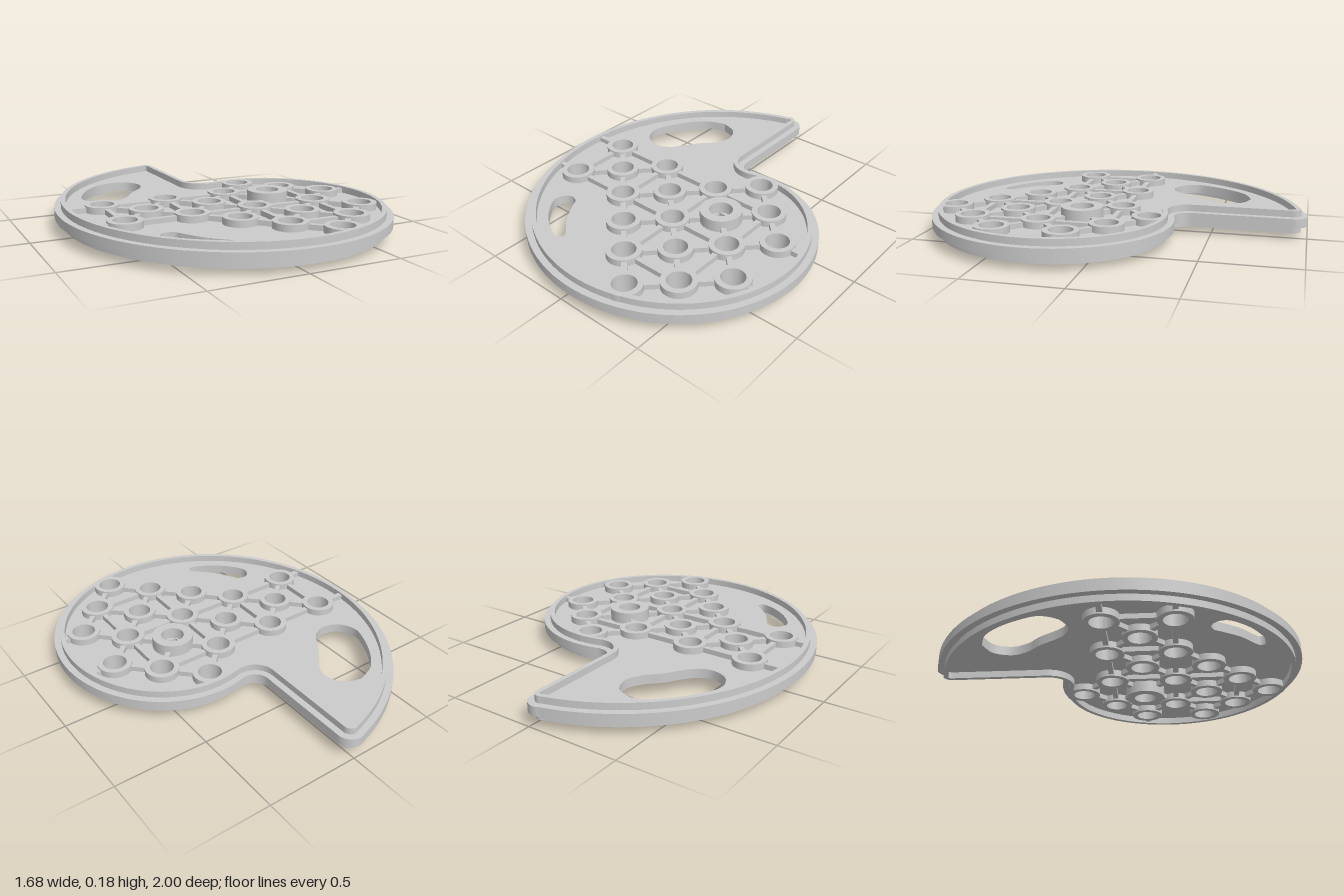
import * as THREE from 'three';
import { toCreasedNormals } from 'three/addons/utils/BufferGeometryUtils.js';

const PI = Math.PI;
const MID = 0.09; // mid-height; the plate is symmetric above and below it
const STEP = 0.177, HUB = [0.278, 0.138];
const BORE = 0.061, BOSS = 0.09;
const material = new THREE.MeshStandardMaterial({ color: 0xcccccc, side: THREE.DoubleSide });

// Plan coordinates are (x, z)
const V = (x, z) => new THREE.Vector2(x, z);
const flip = (pts) => pts.map((p) => V(p.x, -p.y));

// Extrudes a plan outline with holes, centred on the mid-height
function slab(name, outline, holes, half) {
  const shape = new THREE.Shape(flip(outline));
  shape.holes = holes.map((h) => new THREE.Path(flip(h)));
  let geo = new THREE.ExtrudeGeometry(shape, { depth: 2 * half, bevelEnabled: false });
  geo.rotateX(-PI / 2).translate(0, MID - half, 0);
  geo = toCreasedNormals(geo, 0.5);
  const mesh = new THREE.Mesh(geo, material);
  mesh.name = name;
  return mesh;
}

function circle(x, z, r, n = 40) {
  return Array.from({ length: n }, (_, i) => V(x + r * Math.cos((2 * PI * i) / n), z + r * Math.sin((2 * PI * i) / n)));
}

// Smooth closed opening through a few points
function opening(points) {
  const curve = new THREE.SplineCurve([...points, points[0]].map(([x, z]) => V(x, z)));
  return curve.getSpacedPoints(70).slice(0, -1);
}

// Spiral cam outline: growing arcs, rounded tip, straight step and fillet
function camOutline() {
  const p = new THREE.Path();
  p.absellipse(0.28, 0.28, 0.56, 0.62, -PI / 2 - 0.262, 0, false);
  p.absellipse(0.07, 0.28, 0.77, 0.72, 0, PI / 2, false);
  p.absellipse(0.07, 0.03, 0.915, 0.97, PI / 2, PI, false);
  p.absellipse(0.212, 0.03, 1.057, 1.057, PI, 4.464, false);
  p.absellipse(-0.03, -0.925, 0.075, 0.075, 4.464, 2 * PI, false);
  p.lineTo(0.045, -0.395);
  p.absellipse(0.12, -0.395, 0.075, 0.075, PI, PI / 2 - 0.2, true);
  return p.getSpacedPoints(400).slice(0, -1);
}

// Moves every outline point inward along its normal
function inset(pts, d) {
  const n = pts.length;
  return pts.map((p, i) => {
    const t = pts[(i + 1) % n].clone().sub(pts[(i + n - 1) % n]).normalize();
    return V(p.x - t.y * d, p.y + t.x * d);
  });
}

// Straight rib between two plan points
function rib(a, b) {
  const len = Math.hypot(b[0] - a[0], b[1] - a[1]);
  const mesh = new THREE.Mesh(new THREE.BoxGeometry(len, 0.104, 0.028), material);
  mesh.name = 'rib';
  mesh.position.set((a[0] + b[0]) / 2, MID, (a[1] + b[1]) / 2);
  mesh.rotation.y = -Math.atan2(b[1] - a[1], b[0] - a[0]);
  return mesh;
}

export function createModel() {
  const group = new THREE.Group();
  group.name = 'camPlate';

  // Hole grid in steps from the hub: row -> columns
  const rows = { '-2': [0], '-1': [-5, -3, -1, 1], 0: [-4, -2, 0, 2], 1: [-5, -3, -1, 1], 2: [-2, 0, 2], 3: [-1, 1], 4: [0] };
  const nodes = [];
  for (const [j, cols] of Object.entries(rows)) {
    for (const i of cols) {
      nodes.push({ i, j: +j, x: HUB[0] + i * STEP, z: HUB[1] + j * STEP, hub: i === 0 && +j === 0 });
    }
  }

  // Web plate with its openings and projecting edge
  const outline = camOutline();
  const largeSlot = opening([[-0.34, -0.68], [-0.246, -0.643], [-0.209, -0.548], [-0.246, -0.458], [-0.315, -0.384],
    [-0.384, -0.283], [-0.431, -0.235], [-0.5, -0.214], [-0.585, -0.246], [-0.627, -0.33], [-0.606, -0.415],
    [-0.537, -0.542], [-0.447, -0.638]]);
  const smallSlot = opening([[-0.463, 0.489], [-0.426, 0.505], [-0.405, 0.542], [-0.341, 0.643], [-0.251, 0.733],
    [-0.241, 0.765], [-0.267, 0.78], [-0.341, 0.754], [-0.437, 0.685], [-0.51, 0.595], [-0.521, 0.542], [-0.495, 0.5]]);
  const q = 0.043;
  const square = [[-q, -q], [q, -q], [q, q], [-q, q]].map(([x, z]) => V(HUB[0] + x, HUB[1] + z));
  const holes = nodes.map((n) => (n.hub ? square : circle(n.x, n.z, BORE)));
  group.add(slab('webPlate', outline, [largeSlot, smallSlot, ...holes], 0.025));

  // Raised rim
  group.add(slab('rim', inset(outline, 0.035), [inset(outline, 0.06)], 0.061));

  // Bosses around the holes, with a taller hub around the square drive
  for (const n of nodes) {
    group.add(slab(n.hub ? 'hub' : 'boss', circle(n.x, n.z, n.hub ? 0.11 : BOSS), [circle(n.x, n.z, BORE)], n.hub ? 0.09 : 0.061));
  }

  // Ribs joining neighbouring bosses: diagonals, plus straight runs on the odd grid
  const ribs = new THREE.Group();
  ribs.name = 'ribs';
  const joined = (a, b) => {
    const di = Math.abs(a.i - b.i), dj = Math.abs(a.j - b.j);
    return (di === 1 && dj === 1) || (a.i % 2 !== 0 && a.j % 2 !== 0 && di + dj === 2 && di * dj === 0);
  };
  nodes.forEach((a, k) => {
    for (const b of nodes.slice(k + 1)) {
      if (!joined(a, b)) continue;
      const len = Math.hypot(b.x - a.x, b.z - a.z);
      const ux = (b.x - a.x) / len, uz = (b.z - a.z) / len;
      const ra = a.hub ? 0.09 : 0.077, rb = b.hub ? 0.09 : 0.077;
      ribs.add(rib([a.x + ux * ra, a.z + uz * ra], [b.x - ux * rb, b.z - uz * rb]));
    }
  });

  // Short ribs from the outer bosses to the rim
  const at = (i, j, dx, dz) => [HUB[0] + i * STEP + dx, HUB[1] + j * STEP + dz];
  const r = 0.077;
  ribs.add(
    rib(at(-5, -1, -r, 0), [-0.8, HUB[1] - STEP]),
    rib(at(-5, 1, -r, 0), [-0.76, HUB[1] + STEP]),
    rib(at(2, 0, r, 0), [0.78, HUB[1]]),
    rib(at(2, 2, r, 0), [0.76, HUB[1] + 2 * STEP]),
    rib(at(0, 4, 0, r), [HUB[0], 0.935])
  );
  group.add(ribs);
  return group;
}
